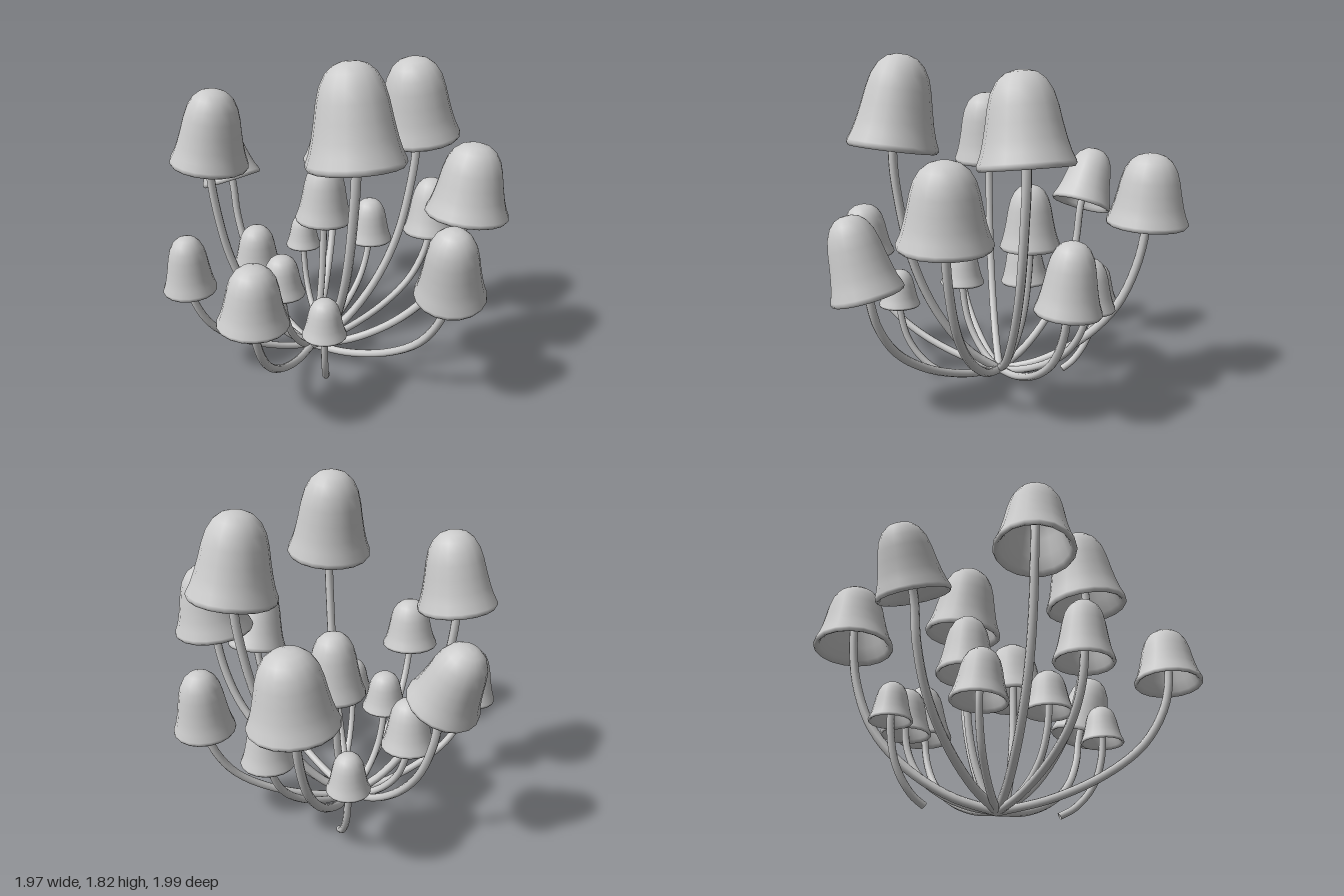
import * as THREE from 'three';

const material = new THREE.MeshStandardMaterial({ color: 0xcccccc, side: THREE.DoubleSide });

// Each mushroom: rim centre x, y, z, rim radius, cap height, cap lean x, z
const MUSHROOMS = [
  [0.37, 1.33, 0.32, 0.245, 0.49, -0.06, -0.03],
  [0.3, 1.28, -0.49, 0.24, 0.455, -0.02, 0.055],
  [-0.515, 1.2, 0.355, 0.212, 0.41, 0.05, -0.01],
  [0.69, 0.945, -0.315, 0.225, 0.395, 0.02, -0.02],
  [-0.415, 0.935, -0.775, 0.217, 0.375, 0.01, -0.02],
  [-0.79, 0.925, -0.155, 0.185, 0.36, -0.15, -0.02],
  [0.79, 0.665, 0.09, 0.183, 0.4, 0.04, 0.1],
  [-0.15, 0.775, -0.21, 0.168, 0.35, 0.01, 0],
  [0.115, 0.645, 0.82, 0.174, 0.3, 0.01, 0],
  [0.3, 0.615, -0.73, 0.163, 0.345, -0.01, -0.02],
  [-0.5, 0.555, 0.58, 0.145, 0.31, 0, 0.01],
  [-0.465, 0.47, 0.035, 0.148, 0.28, 0.01, 0.01],
  [-0.07, 0.52, -0.627, 0.143, 0.27, 0, 0],
  [-0.125, 0.495, 0.255, 0.13, 0.225, 0, 0],
  [0.25, 0.425, 0.41, 0.117, 0.205, 0, 0],
  [-0.465, 0.445, -0.46, 0.113, 0.21, 0, 0],
];
const ROOT = new THREE.Vector3(-0.115, 0.025, -0.03);
// The two smallest stems start away from the shared root
const OWN_ROOTS = { 14: new THREE.Vector3(0.13, 0.03, 0.2), 15: new THREE.Vector3(-0.3, 0.045, -0.34) };

// Bell section from the hollow's ceiling, round the lip, up to the crown
const BELL = [
  [0, 0.86], [0.3, 0.82], [0.5, 0.68], [0.62, 0.45], [0.72, 0.22], [0.84, 0.05], [0.9, 0],
  [0.96, -0.015], [1, 0.015], [0.99, 0.05], [0.91, 0.15], [0.84, 0.28], [0.77, 0.45], [0.71, 0.62],
  [0.63, 0.77], [0.5, 0.89], [0.33, 0.965], [0.15, 0.995], [0, 1],
];
// Stem sweep: share of the way outwards, share of the way up
const SWEEP = [[0, 0], [0.3, 0.1], [0.6, 0.28], [0.82, 0.5], [0.945, 0.75], [1, 1]];

function makeCap(radius, height) {
  const points = BELL.map(([r, y]) => new THREE.Vector2(r * radius, y * height));
  const cap = new THREE.Mesh(new THREE.LatheGeometry(points, 18), material);
  cap.name = 'cap';
  return cap;
}

function makeStem(root, rim, axis, radius, height) {
  const spread = Math.hypot(rim.x - root.x, rim.z - root.z);
  const flatten = 1 + 0.25 * Math.max(0, spread - 0.6); // wide stems stay low for longer
  const points = SWEEP.map(([out, up]) => new THREE.Vector3(
    THREE.MathUtils.lerp(root.x, rim.x, out),
    THREE.MathUtils.lerp(root.y, rim.y, Math.pow(up, flatten)),
    THREE.MathUtils.lerp(root.z, rim.z, out),
  ));
  points.push(rim.clone().addScaledVector(axis, height * 0.85)); // reaches into the cap
  const curve = new THREE.CatmullRomCurve3(points);
  const stem = new THREE.Mesh(new THREE.TubeGeometry(curve, 28, 0.014 + 0.045 * radius, 8), material);
  stem.name = 'stem';
  return stem;
}

export function createModel() {
  const model = new THREE.Group();
  model.name = 'mushroomCluster';
  const up = new THREE.Vector3(0, 1, 0);
  MUSHROOMS.forEach(([x, y, z, radius, height, leanX, leanZ], i) => {
    const rim = new THREE.Vector3(x, y, z);
    const axis = new THREE.Vector3(leanX, height, leanZ).normalize();
    const mushroom = new THREE.Group();
    mushroom.name = 'mushroom' + (i + 1);
    const cap = makeCap(radius, height);
    cap.position.copy(rim);
    cap.quaternion.setFromUnitVectors(up, axis);
    mushroom.add(cap, makeStem(OWN_ROOTS[i] ?? ROOT, rim, axis, radius, height));
    model.add(mushroom);
  });
  return model;
}
